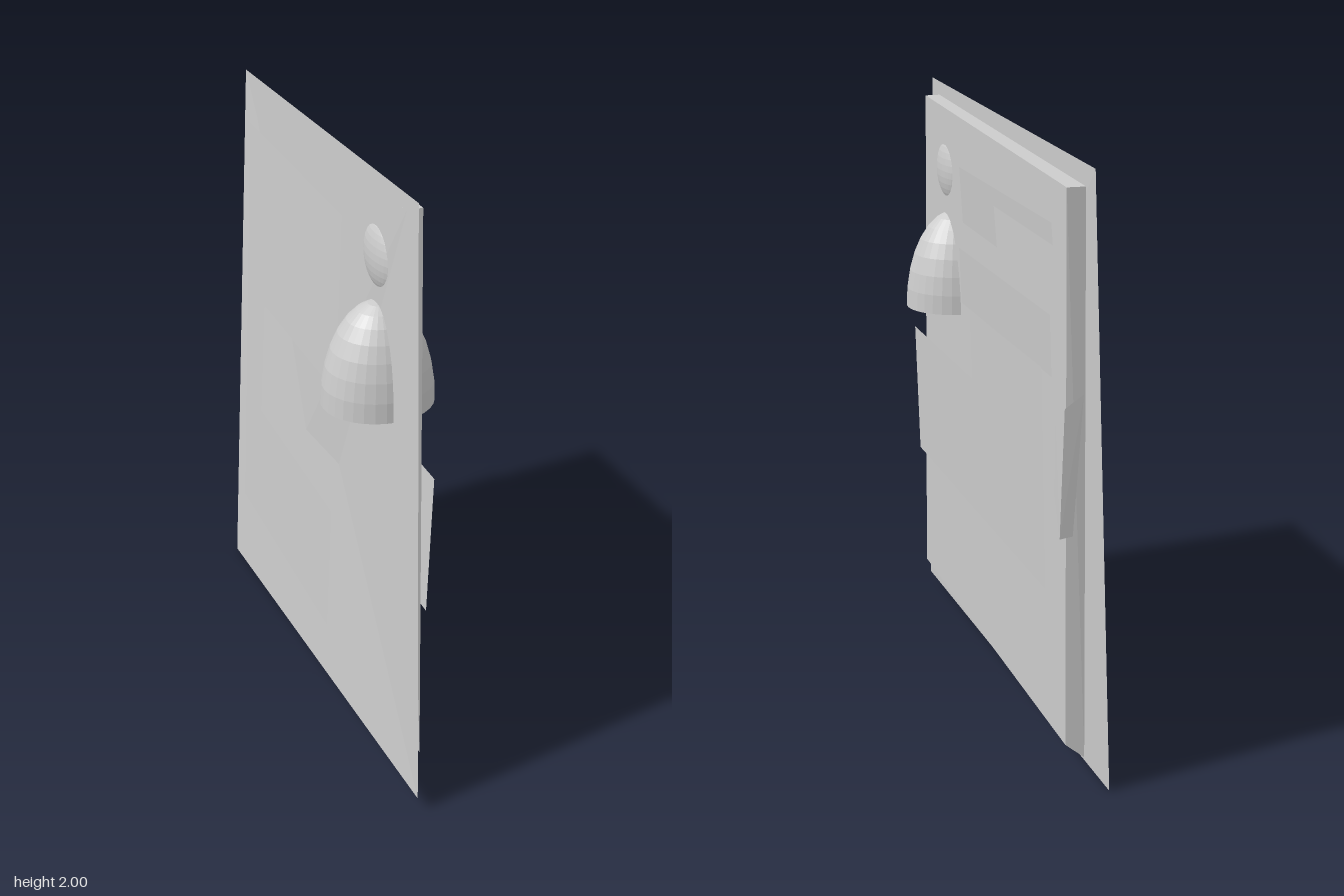
import * as THREE from 'three';
import { ConvexGeometry } from 'three/addons/geometries/ConvexGeometry.js';

const grey = new THREE.MeshStandardMaterial({ color: 0xcccccc });
grey.name = 'plain grey';
grey.flatShading = true;
grey.side = THREE.DoubleSide;

export function createModel() {
  const group = new THREE.Group();

  function add(name, geometry) {
    const mesh = new THREE.Mesh(geometry, grey);
    mesh.name = name;
    group.add(mesh);
    return mesh;
  }

  // Thin sheet outlined in [z, y], leaning sideways by the rule xAt(y, z)
  function sheet(name, outline, xAt) {
    const shape = new THREE.Shape(outline.map(([z, y]) => new THREE.Vector2(z, y)));
    const geometry = new THREE.ShapeGeometry(shape);
    const p = geometry.attributes.position;
    for (let i = 0; i < p.count; i++) {
      const z = p.getX(i), y = p.getY(i);
      p.setXYZ(i, xAt(y, z), y, z);
    }
    geometry.computeVertexNormals();
    return add(name, geometry);
  }

  // Solid wedge through a few [x, y, z] corners
  function wedge(name, corners) {
    return add(name, new ConvexGeometry(corners.map((c) => new THREE.Vector3(...c))));
  }

  // Slightly twisted backing sheet
  const backing = new THREE.BufferGeometry();
  backing.setAttribute('position', new THREE.Float32BufferAttribute([
    -0.03, 0.05, 0.84, -0.09, 0, -0.81, 0, 1.94, -0.82, -0.01, 2, 0.68,
  ], 3));
  backing.setIndex([0, 1, 2, 0, 2, 3]);
  backing.computeVertexNormals();
  add('backingSheet', backing);

  // Card body, tapering to a point at the lower front corner
  wedge('cardBody', [
    [0.04, 1.95, 0.6], [0.055, 1.88, -0.75], [0.02, 0.13, -0.715], [0.015, 0.15, 0.745],
    [-0.01, 1.95, 0.6], [0, 1.88, -0.755], [-0.04, 0.08, -0.725],
  ]);

  // Side tab
  wedge('sideTab', [
    [0.04, 1.175, -0.65], [0.05, 0.95, -0.675],
    [0.085, 1.27, -0.833], [0.09, 0.87, -0.82],
    [0.03, 1.31, -0.838], [0.05, 0.875, -0.822],
  ]);

  // Panels on the left face
  sheet('upperPanel', [
    [0.13, 1.785], [-0.685, 1.77], [-0.685, 1.705], [-0.19, 1.72], [-0.19, 1.59], [0.14, 1.6],
  ], (y) => 0.06 + (y - 1.6) * 0.08);
  sheet('middlePanel', [
    [0.15, 1.515], [-0.67, 1.5], [-0.66, 1.31], [0.16, 1.325],
  ], (y) => 0.058 + (y - 1.31) * 0.06);
  sheet('lowerPanel', [
    [0.01, 1.34], [-0.64, 1.337], [-0.63, 0.63], [0.67, 0.64], [0.665, 1.11], [0.01, 1.105],
  ], (y, z) => 0.058 + (y - 0.63) * 0.032 - z * 0.003);

  // C-shaped panel on the right face
  sheet('bracketPanel', [
    [-0.73, 1.78], [0.2, 1.79], [0.21, 1.205], [-0.525, 1.18],
    [-0.54, 0.755], [0.22, 0.77], [0.225, 0.325], [-0.73, 0.3],
  ], (y, z) => -0.045 - (1.79 - y) * 0.038 - (z - 0.2) * 0.027);

  // Flattened head and open, domed bust
  const head = add('head', new THREE.SphereGeometry(1, 32, 16));
  head.scale.set(0.045, 0.11, 0.11);
  head.position.set(0.012, 1.73, 0.39);
  const bust = add('bust', new THREE.SphereGeometry(1, 32, 8, 0, Math.PI * 2, 0, Math.PI / 2));
  bust.scale.set(0.177, 0.33, 0.16);
  bust.position.set(-0.002, 1.26, 0.395);

  return group;
}
